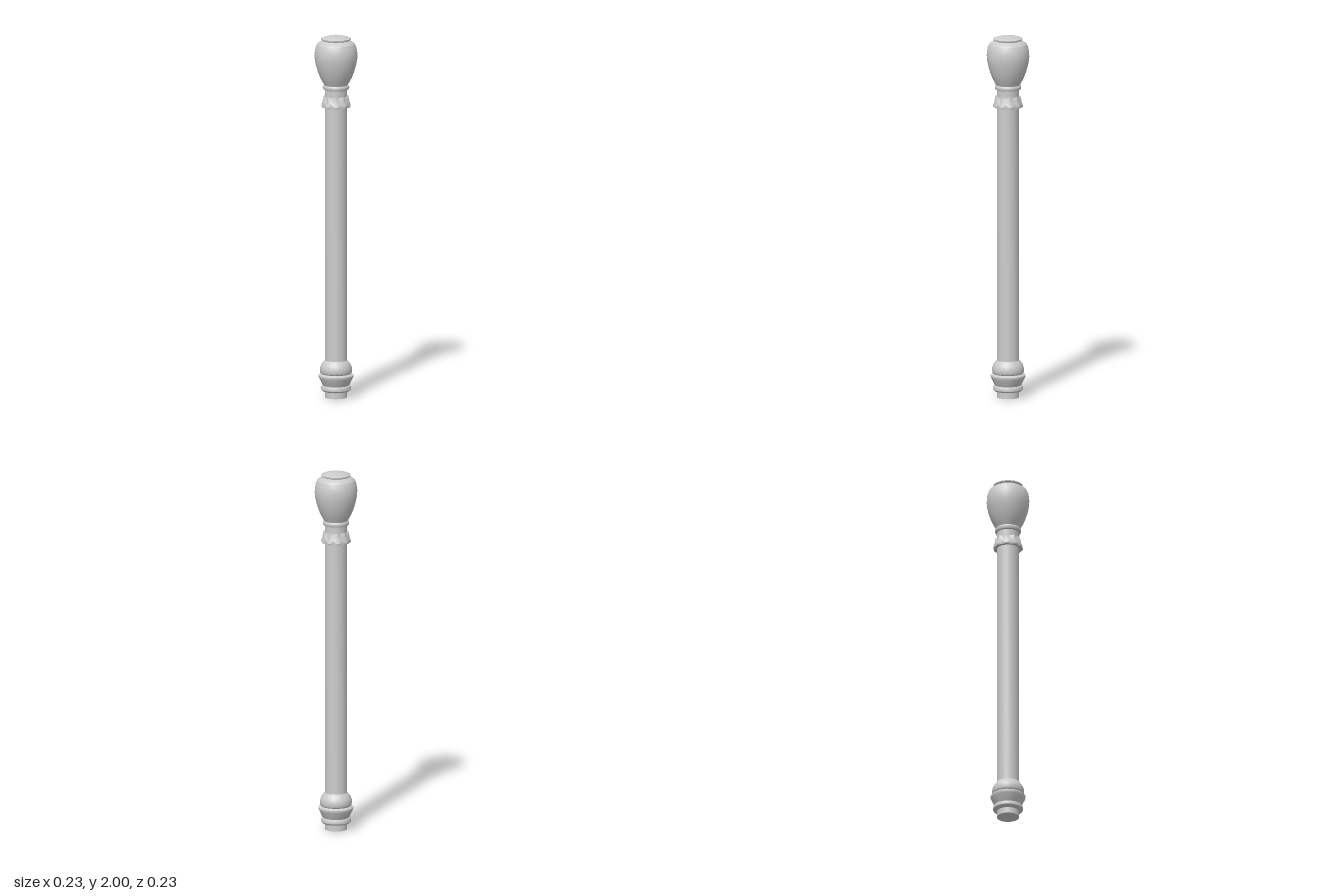
import * as THREE from 'three';
import { toCreasedNormals } from 'three/addons/utils/BufferGeometryUtils.js';

const SIDES = 20;
const material = new THREE.MeshStandardMaterial({ color: 0xcccccc });

// Turned part from [radius, y] pairs, listed from bottom to top
function turned(name, profile, sides = SIDES, reshape) {
  let geometry = new THREE.LatheGeometry(profile.map(([r, y]) => new THREE.Vector2(r, y)), sides);
  if (reshape) reshape(geometry.attributes.position);
  geometry = toCreasedNormals(geometry, 0.6);
  const mesh = new THREE.Mesh(geometry, material);
  mesh.name = name;
  return mesh;
}

// Petalled collar: flared rows rise, dip and swell around the post
function scallop(position) {
  const petals = 10;
  for (let i = 0; i < position.count; i++) {
    const x = position.getX(i), y = position.getY(i), z = position.getZ(i);
    const r = Math.hypot(x, z);
    if (r < 0.064) continue;
    const wave = Math.cos(Math.atan2(x, z) * petals);
    const swell = 1 + 0.03 * wave;
    const lift = y > 1.63 ? 0.008 * wave : y > 1.612 ? -0.006 * wave : 0;
    position.setXYZ(i, x * swell, y + lift, z * swell);
  }
}

export function createModel() {
  const group = new THREE.Group();
  group.name = 'post';

  group.add(
    // Plain column running the whole height below the finial
    turned('shaft', [[0, 0], [0.061, 0], [0.061, 1.71], [0, 1.71]]),

    // Lower ring of the foot
    turned('footRing', [
      [0.06, 0.033], [0.074, 0.036], [0.082, 0.044], [0.083, 0.055], [0.079, 0.064], [0.07, 0.068],
    ]),

    // Tapered cup with a sharp rim
    turned('footCup', [
      [0.07, 0.064], [0.075, 0.072], [0.092, 0.108], [0.095, 0.115], [0.095, 0.123], [0.088, 0.13], [0.079, 0.132],
    ]),

    // Rounded dome above the cup
    turned('footDome', [
      [0.079, 0.13], [0.086, 0.138], [0.088, 0.152], [0.086, 0.168], [0.08, 0.183], [0.07, 0.197], [0.06, 0.207],
    ]),

    // Scalloped collar at the top of the shaft
    turned('collar', [
      [0.06, 1.606], [0.078, 1.606], [0.08, 1.617], [0.075, 1.63], [0.069, 1.65], [0.066, 1.662], [0.06, 1.664],
    ], 40, scallop),

    // Neck ring beneath the bulb
    turned('neckRing', [
      [0.06, 1.7], [0.068, 1.703], [0.072, 1.711], [0.072, 1.718], [0.067, 1.726], [0.06, 1.728],
    ]),

    // Urn-shaped bulb
    turned('bulb', [
      [0, 1.722], [0.062, 1.722], [0.069, 1.735], [0.084, 1.762], [0.097, 1.794], [0.108, 1.83], [0.115, 1.864],
      [0.117, 1.888], [0.115, 1.912], [0.111, 1.933], [0.105, 1.947], [0.103, 1.953], [0.09, 1.963],
      [0.076, 1.971], [0.07, 1.975], [0, 1.975],
    ]),

    // Shallow domed cap
    turned('cap', [
      [0, 1.972], [0.072, 1.972], [0.08, 1.977], [0.081, 1.983], [0.07, 1.988], [0.04, 1.996], [0, 2],
    ]),
  );
  return group;
}
